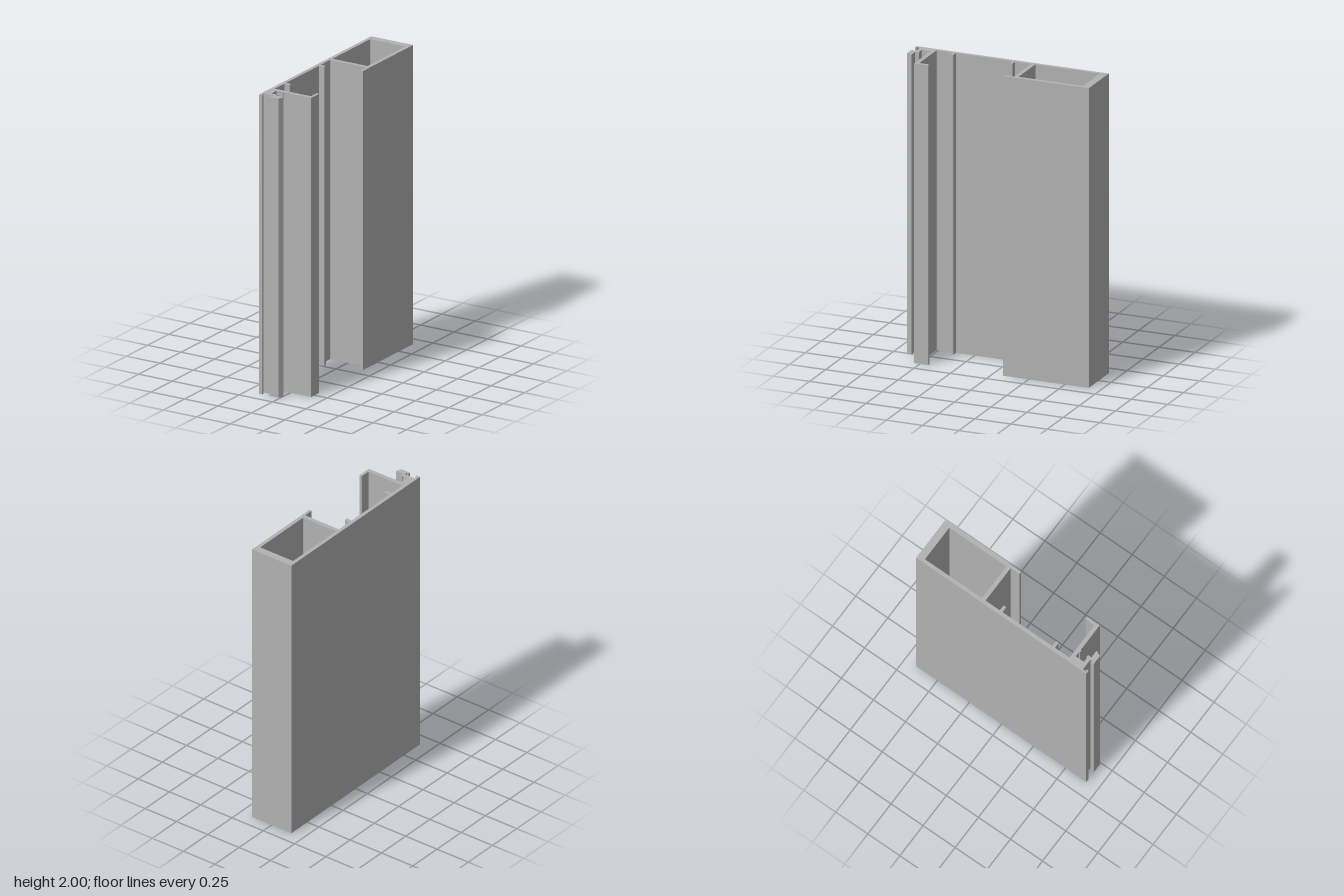
import * as THREE from 'three';

// Closed outline from [x, z, cornerRadius?] points; rounded corners become short curves
function trace(path, points) {
  const n = points.length;
  points.forEach(([x, z, r = 0], i) => {
    const corner = new THREE.Vector2(x, -z);
    const toward = ([px, pz]) => {
      const d = new THREE.Vector2(px, -pz).sub(corner);
      return d.setLength(Math.min(r, d.length() / 2)).add(corner);
    };
    const a = r ? toward(points[(i + n - 1) % n]) : corner;
    if (i === 0) path.moveTo(a.x, a.y);
    else path.lineTo(a.x, a.y);
    if (r) {
      const b = toward(points[(i + 1) % n]);
      path.quadraticCurveTo(corner.x, corner.y, b.x, b.y);
    }
  });
  path.closePath();
  return path;
}

export function createModel() {
  const aluminium = new THREE.MeshStandardMaterial({ color: 0xb2b2b2 });
  aluminium.name = 'aluminium grey';

  const left = -0.158, right = 0.156, wall = -0.133, lip = 0.137, r = 0.005;

  // Small screw rib standing on the inside of the long wall
  const rib = (z) => [[wall, z + 0.021], [-0.092, z + 0.021, r], [-0.092, z, r], [wall, z]];

  const outline = [
    // back box and its lip
    [left, -0.665], [right, -0.665], [right, -0.072, 0.003], [lip, -0.072, 0.003],
    [lip, -0.141, r], [wall, -0.141, r],
    // long wall with two ribs
    ...rib(-0.03).reverse(), ...rib(0.379).reverse(),
    // front web and its lip
    [wall, 0.513, r], [lip, 0.513, r], [lip, 0.443, 0.003], [right, 0.443, 0.003],
    [right, 0.54],
    // gasket groove
    [-0.05, 0.54], [-0.05, 0.547, 0.003], [-0.065, 0.547, 0.003], [-0.065, 0.54],
    [-0.102, 0.54, r], [-0.102, 0.603, r], [-0.065, 0.603], [-0.065, 0.597, 0.003],
    [-0.05, 0.597, 0.003], [-0.05, 0.624],
    // bevelled front hook
    [0.006, 0.624, r], [-0.011, 0.662], [-0.078, 0.662, 0.003], [-0.078, 0.647, 0.003],
    [-0.065, 0.647], [-0.065, 0.628],
    // front slot
    [-0.146, 0.628, 0.003], [-0.146, 0.647, 0.003], [-0.131, 0.647, r], [-0.131, 0.662, r],
    [left, 0.662],
  ];

  const shape = trace(new THREE.Shape(), outline);

  // Hollow chamber in the back box
  shape.holes.push(trace(new THREE.Path(), [
    [wall, -0.614, r], [wall, -0.169, r], [0.13, -0.169, r], [0.13, -0.614, r],
  ]));

  const geometry = new THREE.ExtrudeGeometry(shape, {
    depth: 2, bevelEnabled: false, curveSegments: 3,
  });
  geometry.rotateX(-Math.PI / 2);

  const profile = new THREE.Mesh(geometry, aluminium);
  profile.name = 'extrudedFrameProfile';

  const model = new THREE.Group();
  model.name = 'frameSection';
  model.add(profile);
  return model;
}
